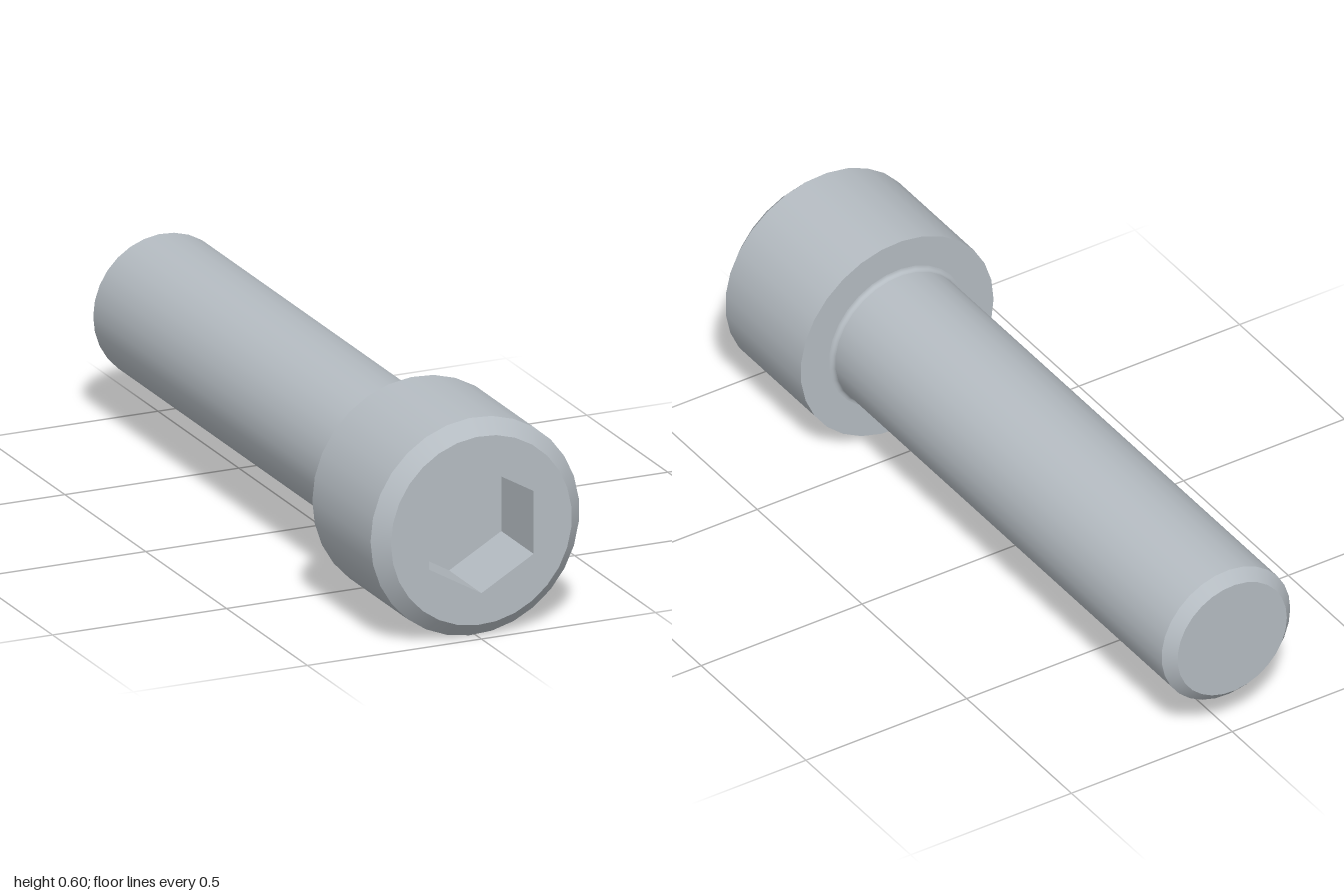
import * as THREE from 'three';

const SEGMENTS = 29;
const AXIS_Y = 0.3;

// Surface of revolution around the z axis; points are [radius, z]
function revolve(points, segments = SEGMENTS, start = -Math.PI / 2) {
  const profile = points.map(([r, z]) => new THREE.Vector2(r, z));
  return new THREE.LatheGeometry(profile, segments, start).rotateX(Math.PI / 2);
}

function polygon(radius, sides, start) {
  return Array.from({ length: sides }, (_, i) => {
    const a = start + (i / sides) * Math.PI * 2;
    return new THREE.Vector2(Math.cos(a) * radius, Math.sin(a) * radius);
  });
}

// Flat face towards +z with a polygonal hole
function plate(outer, inner, z) {
  const shape = new THREE.Shape(outer);
  shape.holes.push(new THREE.Path(inner));
  return new THREE.ShapeGeometry(shape).translate(0, 0, z);
}

export function createModel() {
  const steel = new THREE.MeshStandardMaterial({ color: 0xb5bcc2 });
  steel.name = 'steel';

  const model = new THREE.Group();
  model.name = 'socketHeadBolt';
  const head = new THREE.Group();
  head.name = 'head';
  const socket = new THREE.Group();
  socket.name = 'socket';
  const shank = new THREE.Group();
  shank.name = 'shank';
  model.add(head, socket, shank);
  model.position.y = AXIS_Y;

  const add = (group, name, geometry) => {
    const mesh = new THREE.Mesh(geometry, steel);
    mesh.name = name;
    group.add(mesh);
  };

  const headR = 0.3, faceR = 0.26, shankR = 0.2, tipR = 0.17, fillet = 0.012;
  const hexR = 0.15 / Math.cos(Math.PI / 6), drillR = 0.15, floorZ = 0.8;
  const hexagon = polygon(hexR, 6, Math.PI / 2);

  // Shank: tip, chamfer, rod and the small fillet under the head
  add(shank, 'tipFace', revolve([[0, -1], [tipR, -1]]));
  add(shank, 'tipChamfer', revolve([[tipR, -1], [shankR, -0.97]]));
  add(shank, 'rod', revolve([[shankR, -0.97], [shankR, 0.6 - fillet]]));
  const curve = [];
  for (let i = 0; i <= 5; i++) {
    const a = (i / 5) * Math.PI / 2;
    curve.push([shankR + fillet * (1 - Math.cos(a)), 0.6 - fillet * (1 - Math.sin(a))]);
  }
  add(shank, 'fillet', revolve(curve));

  // Head: underside, side wall, chamfer and front face
  add(head, 'underside', revolve([[shankR + fillet, 0.6], [headR, 0.6]]));
  add(head, 'headWall', revolve([[headR, 0.6], [headR, 0.96]]));
  add(head, 'headChamfer', revolve([[headR, 0.96], [faceR, 1]]));
  add(head, 'frontFace', plate(polygon(faceR, SEGMENTS, Math.PI), hexagon, 1));

  // Hexagonal socket with a conical drill point
  const walls = revolve([[hexR, 1], [hexR, floorZ]], 6, 0).toNonIndexed();
  walls.computeVertexNormals();
  add(socket, 'socketWalls', walls);
  add(socket, 'socketFloor', plate(hexagon, polygon(drillR, SEGMENTS, Math.PI), floorZ));
  add(socket, 'drillPoint', revolve([[drillR, floorZ], [0, floorZ - 0.087]]));

  return model;
}
